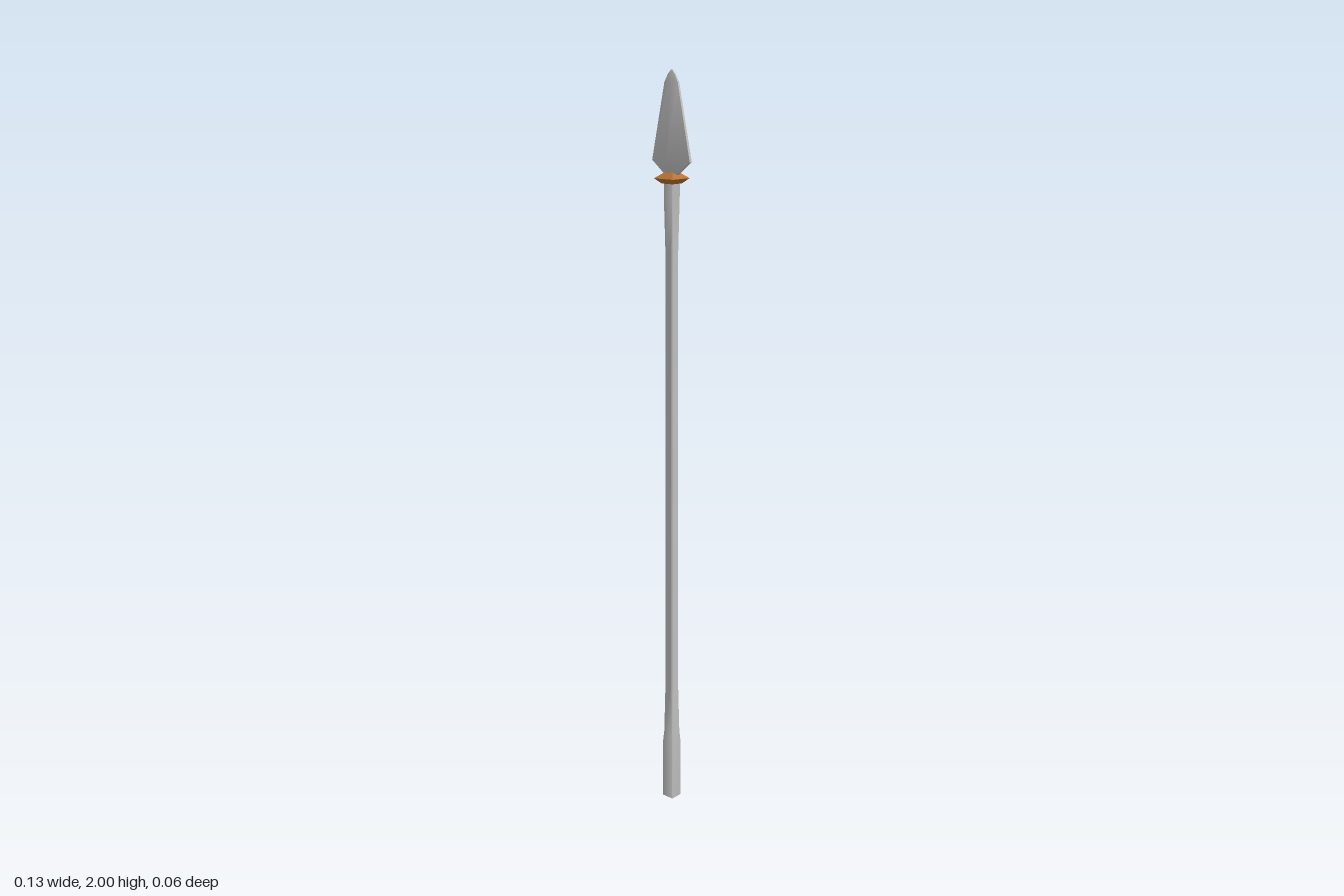
import * as THREE from 'three';
import { toCreasedNormals } from 'three/addons/utils/BufferGeometryUtils.js';

// Joins cross-sections (bottom to top, same point count) and caps both ends.
function loft(sections, crease) {
  const n = sections[0].pts.length;
  const pos = [], idx = [];
  sections.forEach(({ y, pts }) => pts.forEach(([x, z]) => pos.push(x, y, z)));
  for (let s = 0; s < sections.length - 1; s++) {
    for (let i = 0; i < n; i++) {
      const a = s * n + i, b = s * n + (i + 1) % n;
      idx.push(a, a + n, b, b, a + n, b + n);
    }
  }
  const top = (sections.length - 1) * n;
  for (let i = 1; i < n - 1; i++) {
    idx.push(0, i, i + 1);
    idx.push(top, top + i + 1, top + i);
  }
  const g = new THREE.BufferGeometry();
  g.setAttribute('position', new THREE.Float32BufferAttribute(pos, 3));
  g.setIndex(idx);
  return toCreasedNormals(g, crease);
}

// Square of half-width h, its corners cut back to c along each side.
const chamfered = (y, h, c) => ({
  y,
  pts: [[h, -c], [h, c], [c, h], [-c, h], [-h, c], [-h, -c], [-c, -h], [c, -h]],
});

// Flat diamond: half-width w, ridge depth d, blunt edge of half-thickness e.
const diamond = (y, w, d, e) => ({
  y,
  pts: [[w, -e], [w, e], [0, d], [-w, e], [-w, -e], [0, -d]],
});

export function createModel() {
  const model = new THREE.Group();
  const steel = new THREE.MeshStandardMaterial({ color: 0xbfbfbf });
  steel.name = 'steel';
  const copper = new THREE.MeshStandardMaterial({ color: 0xb87333 });
  copper.name = 'copper';

  const add = (name, geometry, material) => {
    const mesh = new THREE.Mesh(geometry, material);
    mesh.name = name;
    model.add(mesh);
  };

  // Shaft: square butt, chamfered grip, square again under the collar
  add('shaft', loft([
    chamfered(0, 0.018, 0.0175),
    chamfered(0.17, 0.018, 0.0165),
    chamfered(0.2, 0.0155, 0.0145),
    chamfered(0.36, 0.0145, 0.0095),
    chamfered(1.55, 0.0135, 0.0095),
    chamfered(1.69, 0.0145, 0.014),
    chamfered(1.73, 0.0145, 0.014),
  ], 0.85), steel);

  // Collar: square ring with a sharp waistline
  add('collar', loft([
    chamfered(1.722, 0.018, 0.018),
    chamfered(1.735, 0.032, 0.032),
    chamfered(1.75, 0.013, 0.013),
  ], 0.3), copper);

  // Spearhead: ridged leaf blade with blunt edges
  add('spearhead', loft([
    diamond(1.742, 0.018, 0.012, 0.004),
    diamond(1.778, 0.063, 0.025, 0.004),
    diamond(1.97, 0.022, 0.008, 0.003),
    diamond(1.99, 0.011, 0.004, 0.002),
    diamond(2, 0.002, 0.002, 0.001),
  ], 0.8), steel);

  return model;
}
